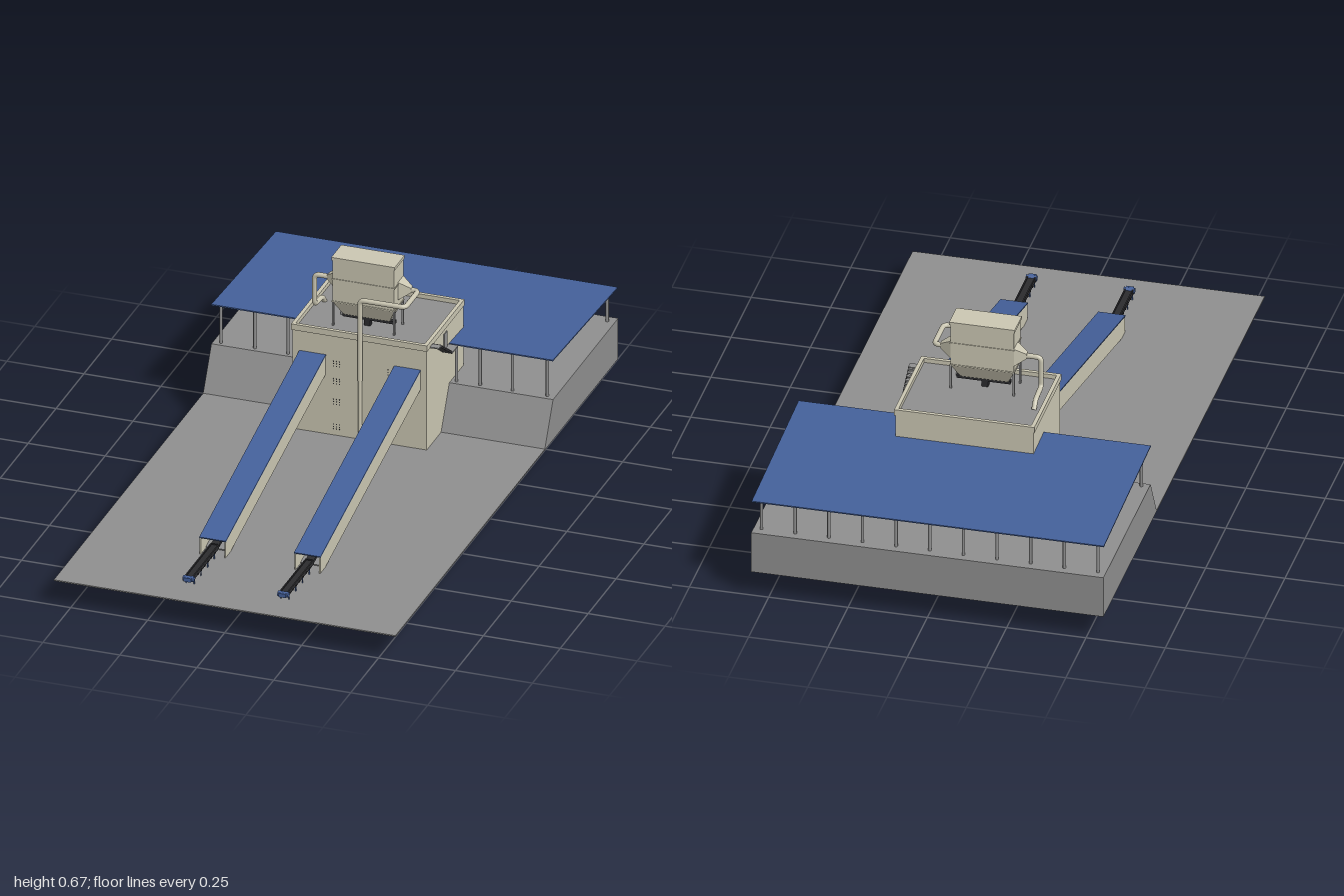
import * as THREE from 'three';

const mat = (name, color) => Object.assign(new THREE.MeshStandardMaterial({ color }), { name });
const gray = mat('concreteGray', 0x8e8e8e);
const beige = mat('wallBeige', 0xcac6b2);
const blue = mat('roofBlue', 0x44609a);
const dark = mat('machineDark', 0x2b2b2e);

export function createModel() {
  const root = new THREE.Group();
  root.name = 'loadingPlant';

  const add = (name, geo, m, parent = root) => {
    const mesh = new THREE.Mesh(geo, m);
    mesh.name = name;
    parent.add(mesh);
    return mesh;
  };
  const group = (name) => {
    const g = new THREE.Group();
    g.name = name;
    root.add(g);
    return g;
  };
  // Box given by its limits on each axis
  const box = (name, x0, x1, y0, y1, z0, z1, m, parent) =>
    add(name, new THREE.BoxGeometry(x1 - x0, y1 - y0, z1 - z0)
      .translate((x0 + x1) / 2, (y0 + y1) / 2, (z0 + z1) / 2), m, parent);
  // Outline of [z, y] points extruded along x
  const prism = (name, pts, w, x, m, parent) => {
    const shape = new THREE.Shape(pts.map(([z, y]) => new THREE.Vector2(z, y)));
    const geo = new THREE.ExtrudeGeometry(shape, { depth: w, bevelEnabled: false });
    return add(name, geo.translate(0, 0, -w / 2).rotateY(-Math.PI / 2).translate(x, 0, 0), m, parent);
  };
  // Flat plate running between two [z, y] points
  const slab = (name, [z0, y0], [z1, y1], w, t, x, m, parent) => {
    const mesh = add(name, new THREE.BoxGeometry(w, t, Math.hypot(z1 - z0, y1 - y0)), m, parent);
    mesh.position.set(x, (y0 + y1) / 2, (z0 + z1) / 2);
    mesh.rotation.x = -Math.atan2(y1 - y0, z1 - z0);
    return mesh;
  };
  // Box whose lower end is scaled
  const taper = (w, h, d, sx, sz) => {
    const geo = new THREE.BoxGeometry(w, h, d);
    const p = geo.attributes.position;
    for (let i = 0; i < p.count; i++)
      if (p.getY(i) < 0) p.setXYZ(i, p.getX(i) * sx, p.getY(i), p.getZ(i) * sz);
    geo.computeVertexNormals();
    return geo;
  };
  const post = (name, x, y0, y1, z, r, m, parent) =>
    add(name, new THREE.CylinderGeometry(r, r, y1 - y0, 10).translate(x, (y0 + y1) / 2, z), m, parent);
  // Round duct with bent corners
  const duct = (name, pts, r, m, parent) => {
    const v = pts.map((p) => new THREE.Vector3(...p));
    const path = new THREE.CurvePath();
    let from = v[0];
    for (let i = 1; i < v.length - 1; i++) {
      const a = v[i].clone().add(v[i - 1].clone().sub(v[i]).setLength(0.016));
      const b = v[i].clone().add(v[i + 1].clone().sub(v[i]).setLength(0.016));
      path.add(new THREE.LineCurve3(from, a));
      path.add(new THREE.QuadraticBezierCurve3(a, v[i], b));
      from = b;
    }
    path.add(new THREE.LineCurve3(from, v[v.length - 1]));
    return add(name, new THREE.TubeGeometry(path, 100, r, 12), m, parent);
  };

  // Ground and raised platform with sloping front
  box('ground', -0.555, 0.555, 0.082, 0.086, -1, 1, gray);
  prism('platform', [[-0.34, 0.085], [-0.415, 0.22], [-1, 0.22], [-1, 0.085]], 1.11, 0, gray);

  // Open-fronted pit below the building
  const pit = group('pit');
  const pitLine = [[-0.18, 0.034], [-0.222, 0.002], [-0.302, 0.002], [-0.302, 0.03], [-0.538, 0.03], [-0.538, 0.083]];
  for (const x of [-0.105, 0.213]) prism('pitWall', [[-0.18, 0.083], ...pitLine], 0.004, x, gray, pit);
  for (let i = 1; i < pitLine.length; i++)
    slab('pitFloor', pitLine[i - 1], pitLine[i], 0.322, 0.004, 0.054, gray, pit);
  for (let i = 0; i < 8; i++) {
    const x = 0.155 + i * 0.007, y = 0.079 - i * 0.006;
    box('pitStep', x, x + 0.009, y - 0.006, y, -0.34, -0.29, gray, pit);
  }
  for (const x of [-0.079, 0.073]) {
    box('pitMachineBase', x - 0.013, x + 0.013, 0.03, 0.06, -0.34, -0.31, blue, pit);
    box('pitMachineHead', x - 0.015, x + 0.015, 0.062, 0.08, -0.35, -0.3, blue, pit);
  }

  // Main building with gray roof behind a parapet
  const hall = group('building');
  box('hallBody', -0.218, 0.218, 0.086, 0.427, -0.54, -0.212, beige, hall);
  box('hallRoof', -0.215, 0.215, 0.427, 0.431, -0.537, -0.215, gray, hall);
  for (const s of [-1, 1])
    box('sideParapet', s * 0.215 - 0.006, s * 0.215 + 0.006, 0.425, 0.445, -0.543, -0.207, beige, hall);
  for (const z of [-0.537, -0.213])
    box('endParapet', -0.221, 0.221, 0.425, 0.445, z - 0.006, z + 0.006, beige, hall);
  // Small wall vents beside the galleries
  for (const x of [-0.085, -0.075, -0.065, 0.093])
    for (const y of [0.115, 0.2, 0.27, 0.33])
      for (const d of [-0.008, 0, 0.008])
        box('vent', x - 0.0015, x + 0.0015, y + d - 0.0015, y + d + 0.0015, -0.213, -0.211, dark, hall);

  // Outside stair from the canopy level to the hall roof
  const stair = group('outsideStair');
  for (let i = 0; i < 10; i++) {
    const y = 0.36 + i * 0.0072, z = -0.352 + i * 0.0105;
    box('stairTread', 0.22, 0.248, y - 0.002, y + 0.002, z - 0.006, z + 0.006, gray, stair);
  }
  for (const x of [0.221, 0.248]) {
    slab('stairStringer', [-0.356, 0.356], [-0.25, 0.428], 0.003, 0.006, x, dark, stair);
  }
  box('stairLanding', 0.218, 0.25, 0.354, 0.358, -0.405, -0.352, gray, stair);
  box('stairTopLanding', 0.218, 0.25, 0.426, 0.43, -0.256, -0.232, gray, stair);
  box('sideDoor', 0.217, 0.221, 0.358, 0.41, -0.39, -0.362, gray, stair);

  // Sloping canopy on posts
  const canopy = group('canopy');
  slab('canopyRoof', [-0.413, 0.354], [-0.995, 0.327], 1.11, 0.004, 0, blue, canopy);
  for (const x of [-0.53, -0.42, -0.312, -0.23, 0.235, 0.312, 0.417, 0.53])
    post('frontPost', x, 0.22, 0.353, -0.432, 0.005, gray, canopy);
  for (let i = 0; i < 11; i++)
    post('rearPost', -0.53 + i * 0.106, 0.22, 0.328, -0.97, 0.005, gray, canopy);

  // Two inclined conveyor galleries with loading ends
  for (const x of [-0.153, 0.155]) {
    const gallery = group('conveyorGallery');
    const outline = [[0.685, 0.087], [0.685, 0.142], [-0.215, 0.354], [-0.215, 0.288], [0.64, 0.087]];
    for (const s of [-1, 1]) prism('galleryWall', outline, 0.004, x + s * 0.04, beige, gallery);
    slab('galleryRoof', [0.686, 0.143], [-0.215, 0.355], 0.086, 0.004, x, blue, gallery);
    slab('galleryFloor', [0.64, 0.089], [-0.215, 0.29], 0.078, 0.004, x, gray, gallery);
    slab('innerBelt', [0.66, 0.112], [-0.215, 0.318], 0.026, 0.01, x, dark, gallery);

    const c = x - 0.002;
    box('belt', c - 0.01, c + 0.01, 0.107, 0.112, 0.66, 0.9, dark, gallery);
    for (const s of [-1, 1])
      box('beltRail', c + s * 0.012 - 0.002, c + s * 0.012 + 0.002, 0.102, 0.116, 0.66, 0.9, dark, gallery);
    for (let i = 0; i < 7; i++) {
      const z = 0.7 + i * 0.03;
      box('roller', c - 0.016, c + 0.016, 0.103, 0.108, z - 0.003, z + 0.003, dark, gallery);
      if (i % 2 === 0) for (const s of [-1, 1])
        post('beltLeg', c + s * 0.013, 0.086, 0.104, z, 0.002, blue, gallery);
    }
    add('endDrum', new THREE.CylinderGeometry(0.009, 0.009, 0.034, 14).rotateZ(Math.PI / 2)
      .translate(c, 0.109, 0.895), blue, gallery);
    box('endGuard', c - 0.012, c + 0.012, 0.103, 0.116, 0.898, 0.908, blue, gallery);
  }

  // Dust filter on the roof
  const filter = group('dustFilter');
  const fx = -0.0075, fz = -0.308;
  box('filterBody', fx - 0.1, fx + 0.1, 0.512, 0.658, fz - 0.042, fz + 0.042, beige, filter);
  box('filterCap', fx - 0.103, fx + 0.103, 0.655, 0.665, fz - 0.045, fz + 0.045, beige, filter);
  for (const y of [0.514, 0.59])
    box('filterBand', fx - 0.102, fx + 0.102, y - 0.002, y + 0.002, fz - 0.044, fz + 0.044, beige, filter);
  add('filterHopper', taper(0.2, 0.052, 0.084, 0.75, 0.3), beige, filter).position.set(fx, 0.486, fz);
  box('dischargeScrew', fx - 0.08, fx + 0.09, 0.45, 0.46, fz - 0.008, fz + 0.008, dark, filter);
  box('dischargeChute', fx - 0.01, fx + 0.01, 0.431, 0.452, fz - 0.008, fz + 0.008, dark, filter);
  for (const s of [-1, 1]) {
    for (const t of [-1, 1])
      box('filterLeg', fx + s * 0.099 - 0.003, fx + s * 0.099 + 0.003, 0.43, 0.514,
        fz + t * 0.04 - 0.003, fz + t * 0.04 + 0.003, gray, filter);
    // Tapered duct connection
    const cone = add('ductCone', taper(0.06, 0.036, 0.05, 0.27, 0.32).rotateZ(s * Math.PI / 2), beige, filter);
    cone.position.set(fx + s * 0.118, 0.566, -0.325);
  }

  // Ducts: one bends back over the roof, one runs down the front wall
  const ducts = group('ducts');
  duct('leftDuct', [[-0.14, 0.565, -0.325], [-0.187, 0.565, -0.325], [-0.187, 0.462, -0.325],
    [-0.187, 0.455, -0.395], [-0.187, 0.43, -0.415]], 0.008, beige, ducts);
  duct('rightDuct', [[0.12, 0.565, -0.325], [0.15, 0.565, -0.325], [0.15, 0.565, -0.206],
    [0.003, 0.565, -0.206], [0.003, 0.29, -0.206]], 0.008, beige, ducts);
  post('frontDuct', 0.003, 0.086, 0.3, -0.206, 0.006, beige, ducts);

  return root;
}
